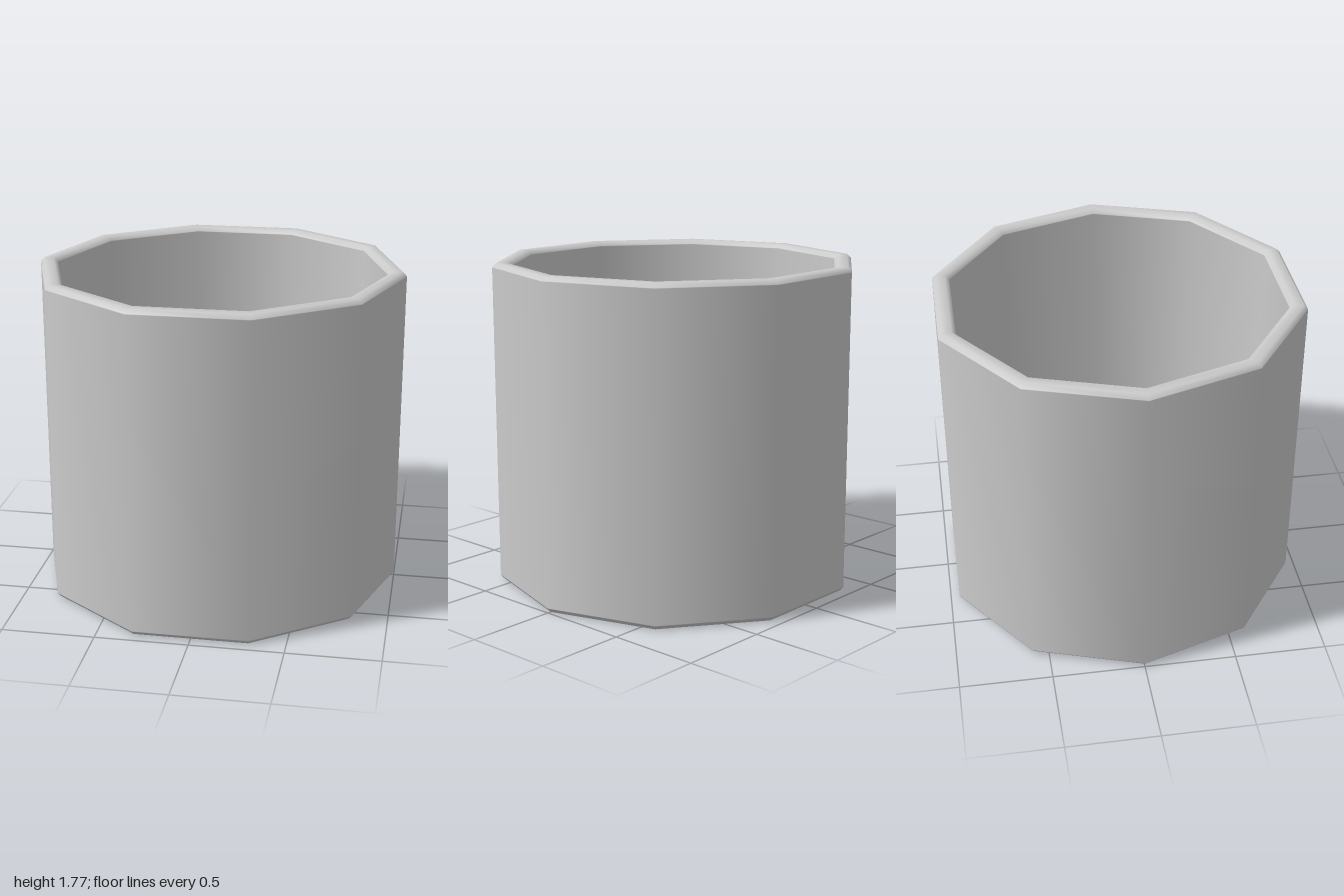
import * as THREE from 'three';

const SIDES = 10, HEIGHT = 1.77, OUTER = 1, INNER = 0.905, FLOOR = 0.095, BEVEL = 0.022;

export function createModel() {
  const group = new THREE.Group();
  group.name = 'cup';
  const material = new THREE.MeshStandardMaterial({ color: 0xcccccc });

  // Closed cross-section, from the centre of the base round to the centre of the floor
  const corners = [
    [0, 0],
    [OUTER - BEVEL, 0], [OUTER, BEVEL],
    [OUTER, HEIGHT - BEVEL], [OUTER - BEVEL, HEIGHT],
    [INNER + BEVEL, HEIGHT], [INNER, HEIGHT - BEVEL],
    [INNER, FLOOR],
    [0, FLOOR],
  ].map(([x, y]) => new THREE.Vector2(x, y));

  // Support loops beside the corners keep long faces evenly shaded
  const profile = [corners[0]];
  for (let i = 1; i < corners.length; i++) {
    const a = corners[i - 1], b = corners[i];
    const length = a.distanceTo(b);
    if (length > 0.2) {
      const t = 0.004 / length;
      if (a.x > 0) profile.push(a.clone().lerp(b, t));
      if (b.x > 0) profile.push(b.clone().lerp(a, t));
    }
    profile.push(b);
  }

  // Ten-sided shell, with corners on the x axis
  const shell = new THREE.Mesh(
    new THREE.LatheGeometry(profile, SIDES, Math.PI / 2, Math.PI * 2), material);
  shell.name = 'cupShell';
  group.add(shell);
  return group;
}
